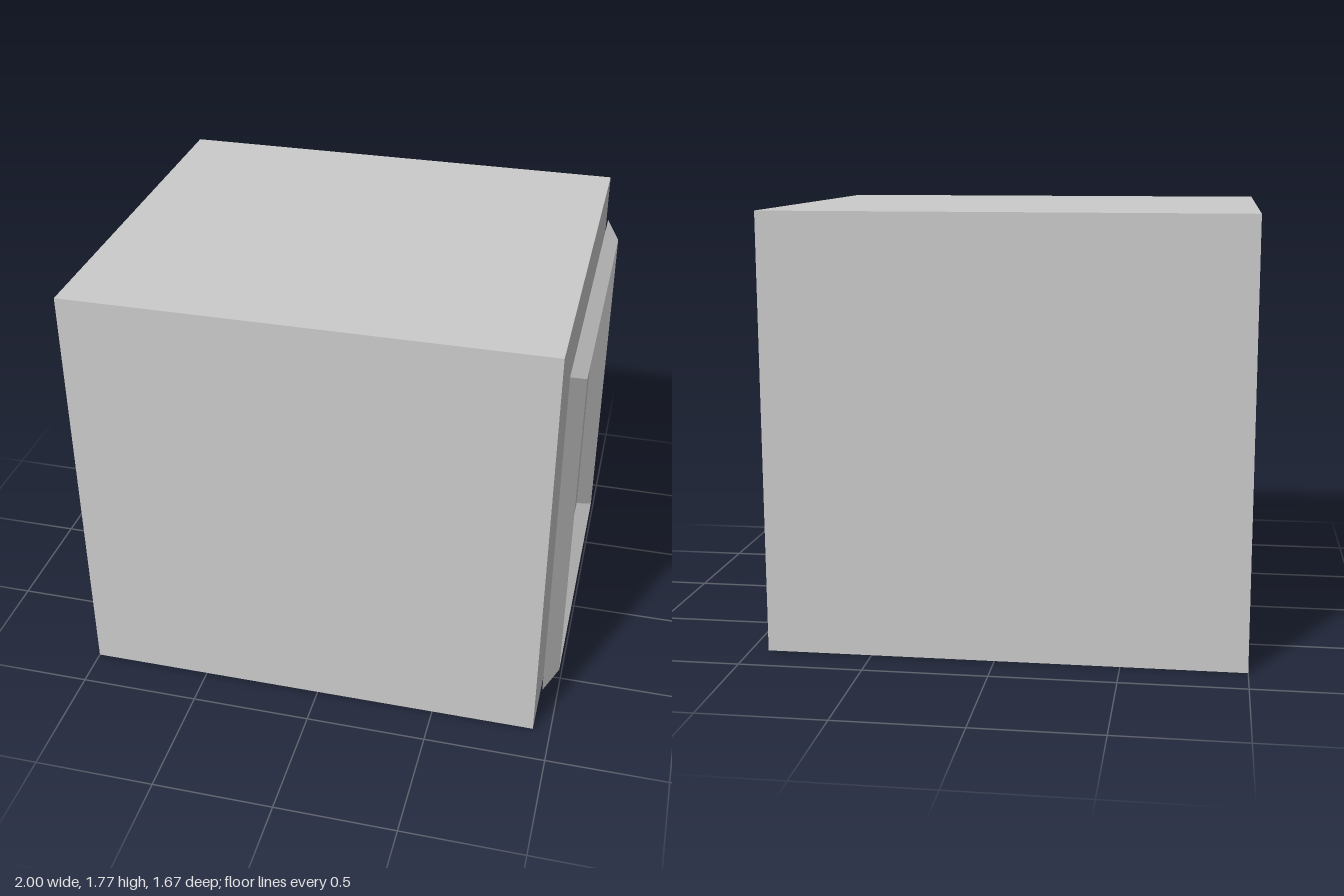
import * as THREE from 'three';

const material = new THREE.MeshStandardMaterial({
  color: 0xcccccc, flatShading: true, side: THREE.DoubleSide,
});

// Rectangular loop facing +x, counter-clockwise when seen from +x
const loop = ({ x, z, y0, y1 }) => [
  [x, y0, z], [x, y0, -z], [x, y1, -z], [x, y1, z],
];

// Open sheet joining successive loops, closed by a flat pane on the last one
function loftedPanel(sections) {
  const loops = sections.map(loop);
  const index = [];
  for (let s = 0; s < loops.length - 1; s++) {
    for (let i = 0; i < 4; i++) {
      const j = (i + 1) % 4;
      const a = s * 4 + i, b = s * 4 + j, c = a + 4, d = b + 4;
      index.push(a, b, d, a, d, c);
    }
  }
  const p = (loops.length - 1) * 4;
  index.push(p, p + 1, p + 2, p, p + 2, p + 3);

  const geometry = new THREE.BufferGeometry();
  geometry.setAttribute('position', new THREE.Float32BufferAttribute(loops.flat(2), 3));
  geometry.setIndex(index);
  const flat = geometry.toNonIndexed();
  flat.computeVertexNormals();
  return flat;
}

export function createModel() {
  const group = new THREE.Group();

  // Main cabinet block
  const body = new THREE.Mesh(new THREE.BoxGeometry(1.928, 1.775, 1.666), material);
  body.name = 'body';
  body.position.set(-0.036, 0.8875, 0);
  group.add(body);

  // Raised bevelled frame with recessed pane, standing just off the side face
  const panel = new THREE.Mesh(loftedPanel([
    { x: 0.943, z: 0.703, y0: 0.104, y1: 1.629 }, // outer edge
    { x: 1.0, z: 0.616, y0: 0.155, y1: 1.579 },   // ridge
    { x: 0.937, z: 0.517, y0: 0.215, y1: 1.517 }, // pane edge
  ]), material);
  panel.name = 'framedPanel';
  panel.position.z = 0.003;
  group.add(panel);

  return group;
}
